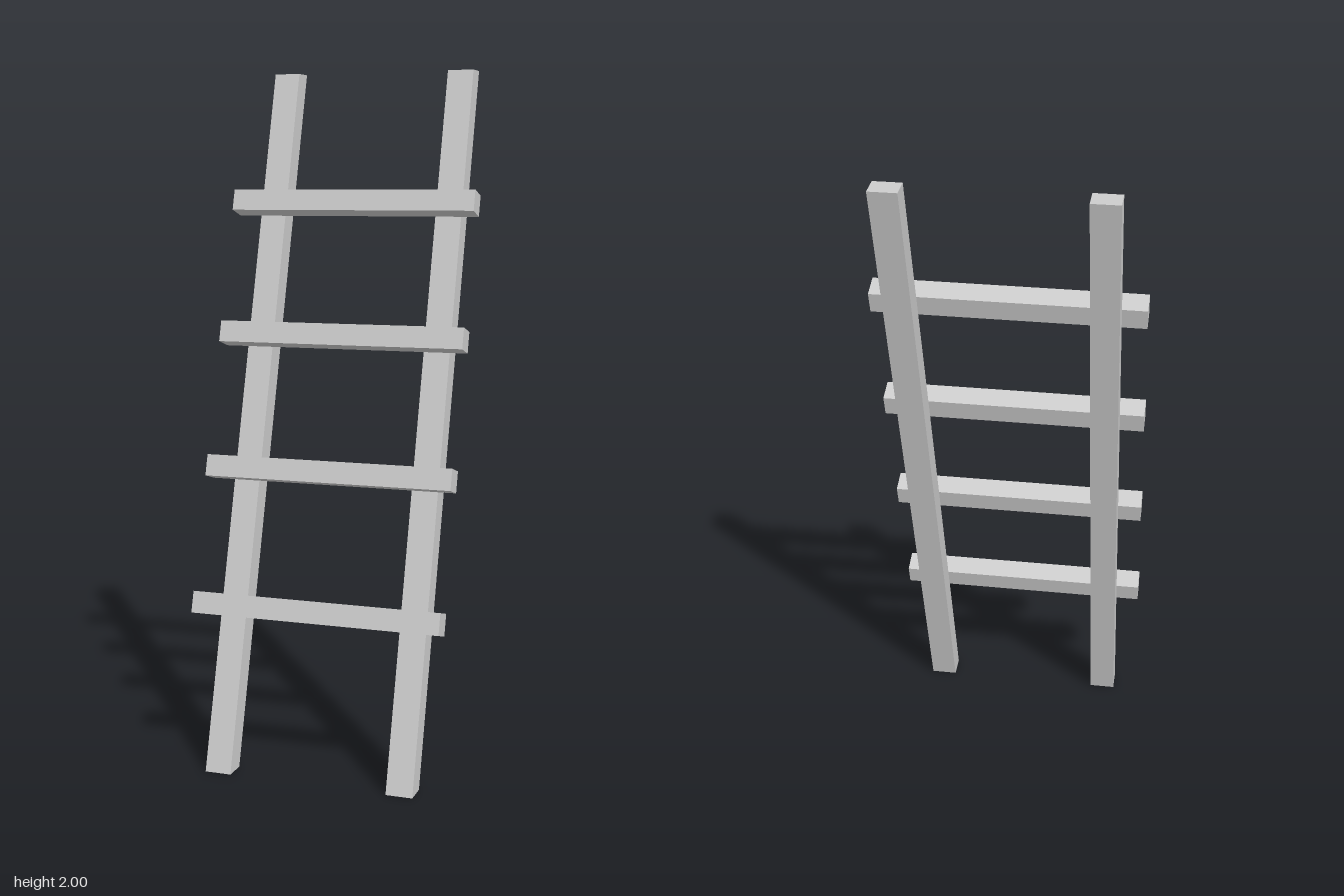
import * as THREE from 'three';

const SLOPE = 0.293; // backward lean per unit of height

export function createModel() {
  const model = new THREE.Group();
  model.name = 'ladder';
  const material = new THREE.MeshStandardMaterial({ color: 0xcccccc, flatShading: true });

  // Side rails: leaning bars whose ends are cut level with the ground
  const profile = new THREE.Shape([
    new THREE.Vector2(-0.326, 0),
    new THREE.Vector2(-0.26, 0),
    new THREE.Vector2(-0.26 + 2 * SLOPE, 2),
    new THREE.Vector2(-0.326 + 2 * SLOPE, 2),
  ]);
  const width = 0.077;
  const railGeometry = new THREE.ExtrudeGeometry(profile, { depth: width, bevelEnabled: false });
  railGeometry.translate(0, 0, -width / 2);
  railGeometry.rotateY(Math.PI / 2); // profile x becomes -z
  for (const [name, x] of [['rightRail', -0.264], ['leftRail', 0.277]]) {
    const rail = new THREE.Mesh(railGeometry, material);
    rail.name = name;
    rail.position.x = x;
    model.add(rail);
  }

  // Rungs: square bars fixed to the front of the rails, tilted with them
  const rungGeometry = new THREE.BoxGeometry(0.738, 0.0625, 0.0645);
  for (let i = 0; i < 4; i++) {
    const rung = new THREE.Mesh(rungGeometry, material);
    rung.name = `rung${i + 1}`;
    rung.position.set(-0.001, 0.468 + i * 0.3825, 0.2215 - i * 0.1115);
    rung.rotation.x = -Math.atan(SLOPE);
    model.add(rung);
  }
  return model;
}
